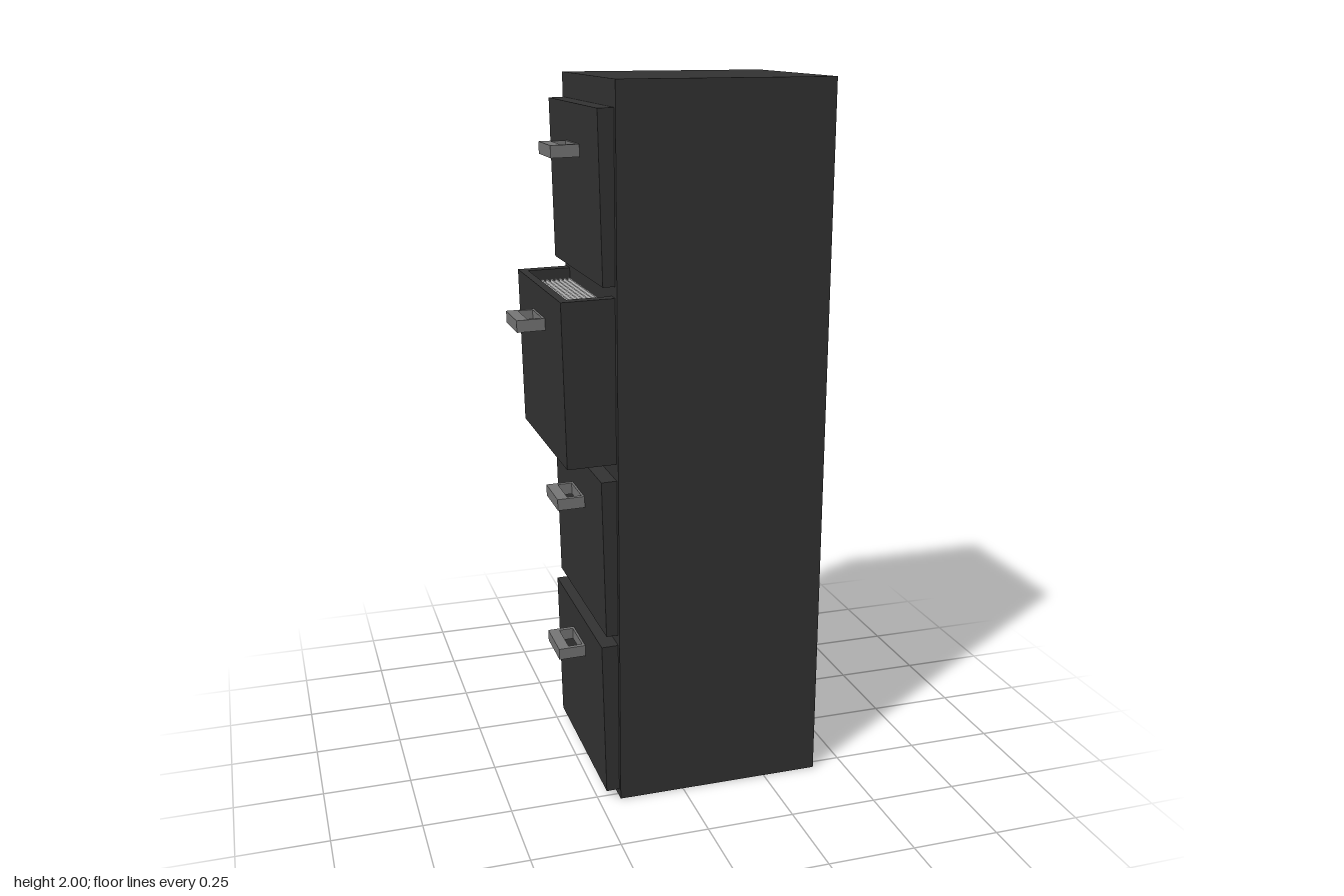
import * as THREE from 'three';

const dark = new THREE.MeshStandardMaterial({ color: 0x333333 });
const metal = new THREE.MeshStandardMaterial({ color: 0x777777 });
const paper = new THREE.MeshStandardMaterial({ color: 0xcccccc });

const DRAWER_H = 0.45, TILT = 0.022;

function box(name, material, size, pos, parent) {
  const mesh = new THREE.Mesh(new THREE.BoxGeometry(...size), material);
  mesh.name = name;
  mesh.position.set(...pos);
  parent.add(mesh);
  return mesh;
}

// Rectangular ring lying flat: outer and inner are [x0, x1, z0, z1]; its top is at y
function ring(name, material, outer, inner, height, y, parent) {
  const corners = ([x0, x1, z0, z1]) =>
    [[x0, z0], [x1, z0], [x1, z1], [x0, z1]].map(([x, z]) => new THREE.Vector2(x, z));
  const shape = new THREE.Shape(corners(outer));
  shape.holes.push(new THREE.Path(corners(inner).reverse()));
  const geo = new THREE.ExtrudeGeometry(shape, { depth: height, bevelEnabled: false });
  geo.rotateX(Math.PI / 2);
  const mesh = new THREE.Mesh(geo, material);
  mesh.name = name;
  mesh.position.y = y;
  parent.add(mesh);
}

// Drawer group: origin at the top edge of its front, body running towards +x
function drawer(name, x, top, handleDrop, open) {
  const group = new THREE.Group();
  group.name = name;
  group.position.set(x, top, -0.002);
  group.rotation.z = TILT;
  const depth = open ? 0.5 : 0.2;
  if (open) {
    ring('drawerWalls', dark, [0, depth, -0.263, 0.263], [0.023, depth - 0.02, -0.226, 0.23], DRAWER_H, 0, group);
    box('drawerFloor', dark, [depth - 0.02, 0.02, 0.5], [depth / 2, -DRAWER_H + 0.011, 0], group);
    // Row of hanging files
    for (let i = 0; i < 8; i++)
      box('file', paper, [0.004, 0.4, 0.425], [0.058 + i * 0.013, -0.225, 0.006], group);
  } else {
    box('drawerFront', dark, [depth, DRAWER_H, 0.53], [depth / 2, -DRAWER_H / 2, 0], group);
  }
  // Pull handle
  ring('handle', metal, [-0.078, 0.004, -0.07, 0.07], [-0.047, -0.006, -0.057, 0.057], 0.033, -handleDrop + 0.017, group);
  return group;
}

export function createModel() {
  const model = new THREE.Group();
  model.name = 'filingCabinet';

  box('cabinetBody', dark, [0.596, 2, 0.556], [0.11, 1, 0], model);

  // Drawers from top to bottom, the second one pulled out
  model.add(drawer('topDrawer', -0.231, 1.93, 0.12, false));
  model.add(drawer('openDrawer', -0.333, 1.447, 0.096, true));
  model.add(drawer('thirdDrawer', -0.231, 0.953, 0.12, false));
  model.add(drawer('bottomDrawer', -0.235, 0.472, 0.098, false));

  return model;
}
